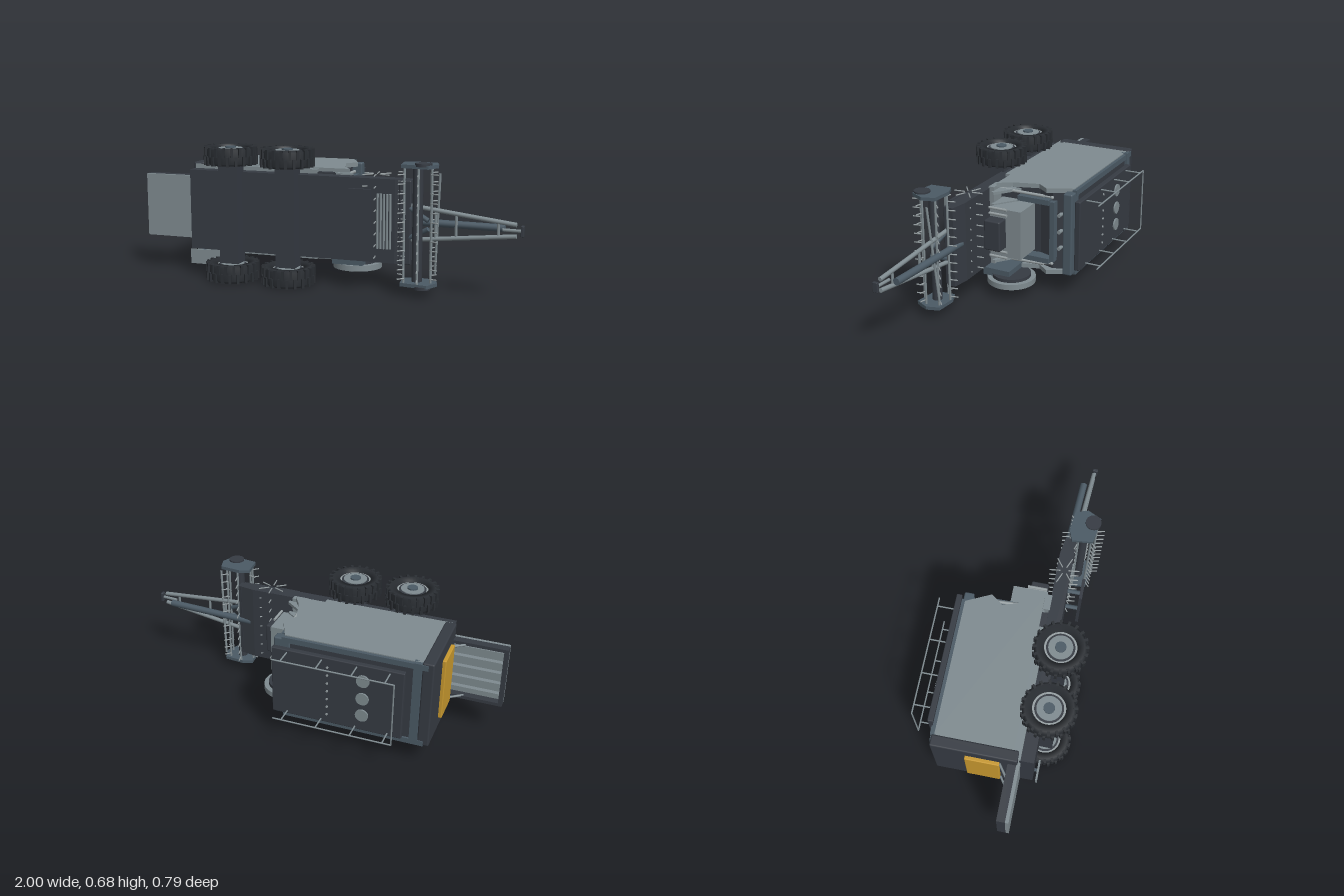
import * as THREE from 'three';
import { RoundedBoxGeometry } from 'three/addons/geometries/RoundedBoxGeometry.js';

const mat = (name, color) => Object.assign(new THREE.MeshStandardMaterial({ color }), { name });

export function createModel() {
  const root = new THREE.Group();
  root.name = 'towedBaler';
  const grey = mat('panel grey', 0x7f8b90);
  const steel = mat('light steel', 0x969fa2);
  const dark = mat('dark chassis', 0x363b43);
  const slate = mat('slate blue', 0x4b5a65);
  const rubber = mat('tyre rubber', 0x2a2e33);
  const amber = mat('amber panel', 0xc8992f);
  const MID = 0.345; // centre line across the width (y)

  const add = (name, geo, m, parent = root) => {
    const mesh = new THREE.Mesh(geo, m);
    mesh.name = name;
    parent.add(mesh);
    return mesh;
  };
  // Box from its extents; optional rounded edges
  const box = (name, m, [x0, x1], [y0, y1], [z0, z1], r = 0, parent = root) => {
    const s = [x1 - x0, y1 - y0, z1 - z0];
    const geo = r ? new RoundedBoxGeometry(...s, 2, r) : new THREE.BoxGeometry(...s);
    const b = add(name, geo, m, parent);
    b.position.set((x0 + x1) / 2, (y0 + y1) / 2, (z0 + z1) / 2);
    return b;
  };
  // Round bar between two points
  const rod = (name, m, a, b, r, sides = 8, parent = root) => {
    const A = new THREE.Vector3(...a), B = new THREE.Vector3(...b), d = B.clone().sub(A);
    const mesh = add(name, new THREE.CylinderGeometry(r, r, d.length(), sides), m, parent);
    mesh.position.copy(A).add(B).multiplyScalar(0.5);
    mesh.quaternion.setFromUnitVectors(new THREE.Vector3(0, 1, 0), d.normalize());
    return mesh;
  };
  // Plate with an (x, z) outline spanning y0..y1
  const slab = (name, m, pts, y0, y1, parent = root) => {
    const shape = new THREE.Shape(pts.map(p => new THREE.Vector2(...p)));
    const geo = new THREE.ExtrudeGeometry(shape, { depth: y1 - y0, bevelEnabled: false });
    geo.rotateX(Math.PI / 2).translate(0, y1, 0);
    return add(name, geo, m, parent);
  };
  const mirror = fn => [-1, 1].forEach(s => fn(s, d => MID + s * d));
  const span = (a, b) => [Math.min(a, b), Math.max(a, b)];

  // Bale chamber with side panels
  slab('chamberCore', dark, [[-0.68, -0.262], [0, -0.262], [0.045, -0.15], [0.02, -0.07], [0.045, 0.16], [-0.68, 0.16]], 0.13, 0.56);
  const side = [[-0.67, -0.255], [0.02, -0.255], [0.08, -0.13], [0.035, -0.07], [0.075, 0.06], [0.12, 0.13], [-0.67, 0.13]];
  slab('leftSidePanel', grey, side, 0.555, 0.578);
  slab('rightSidePanel', grey, side, 0.112, 0.135);
  mirror((s, y) => {
    box('lowerSideRail', grey, [-0.71, -0.04], span(y(0.205), y(0.228)), [0.13, 0.167]);
    box('roofEdge', slate, [-0.7, 0.03], span(y(0.2), y(0.228)), [-0.272, -0.25]);
  });
  box('frontCap', slate, [-0.01, 0.075], [0.125, 0.563], [-0.268, -0.218], 0.008);

  // Rear door and amber panel
  box('rearDoor', dark, [-0.727, -0.67], [0.118, 0.582], [-0.268, 0.155], 0.008);
  box('rearRoofBand', slate, [-0.67, -0.63], [0.122, 0.578], [-0.276, -0.24]);
  box('rearPanel', amber, [-0.745, -0.72], [0.18, 0.51], [-0.1, 0.07], 0.005);

  // Roof deck, dials, bolts and handrail
  box('roofDeck', dark, [-0.6, 0.07], [0.16, 0.53], [-0.31, -0.281], 0.005);
  box('roofDeckSupport', slate, [-0.56, 0.02], [0.2, 0.49], [-0.285, -0.255]);
  [0.25, 0.345, 0.445].forEach(y => rod('roofDial', grey, [-0.4, y, -0.27], [-0.4, y, -0.318], 0.033, 24));
  for (let i = 0; i < 7; i++) {
    const y = 0.21 + i * 0.045;
    rod('roofBolt', steel, [-0.22, y, -0.3], [-0.22, y, -0.315], 0.006);
  }
  mirror((s, y) => {
    rod('handrail', grey, [-0.575, y(0.17), -0.393], [0.035, y(0.17), -0.393], 0.004);
    [-0.53, -0.366, -0.19, -0.01].forEach(x => rod('railPost', grey, [x, y(0.17), -0.393], [x, y(0.17), -0.3], 0.004));
  });
  rod('handrailEnd', grey, [-0.575, 0.175, -0.393], [-0.575, 0.515, -0.393], 0.004);

  // Front face frame, rams and feed chute
  box('frontFrameBar', slate, [0.02, 0.075], [0.183, 0.507], [-0.17, -0.145]);
  mirror((s, y) => {
    box('frontFrameArm', slate, [0.02, 0.085], span(y(0.145), y(0.172)), [-0.145, 0.03]);
    rod('ramBody', steel, [0.075, y(0.19), 0.13], [0.065, y(0.185), -0.11], 0.008, 12);
    rod('ramRod', steel, [0.065, y(0.185), -0.1], [0.055, y(0.18), -0.15], 0.005);
    add('ramJoint', new THREE.SphereGeometry(0.009, 12, 8), steel).position.set(0.055, y(0.18), -0.15);
    [0.1, 0.13].forEach(d => rod('hydraulicPipe', steel, [0.2, y(d), 0.03], [0.2, y(d), 0.13], 0.007));
  });
  [0.255, 0.345, 0.435].forEach(y => rod('frontBolt', grey, [0.02, y, -0.19], [0.06, y, -0.19], 0.01, 12));
  box('plungerHousing', grey, [0.03, 0.19], [0.215, 0.472], [-0.042, 0.13]);
  box('gearbox', dark, [0.12, 0.255], [0.265, 0.425], [0.042, 0.132], 0.008);
  box('feedBeam', grey, [0.06, 0.14], [0.14, 0.56], [0.135, 0.165]);
  for (let i = 0; i < 7; i++) {
    const y = 0.155 + i * 0.062;
    slab('chuteFin', grey, [[0.04, 0.03], [0.06, 0.05], [0.16, 0.125], [0.16, 0.14], [0.04, 0.14]], y, y + 0.014);
  }

  // Chassis
  slab('chassis', dark, [[-0.71, 0.16], [0.38, 0.16], [0.47, 0.175], [0.47, 0.215], [0.38, 0.232], [-0.71, 0.232]], 0.14, 0.552);
  box('undersidePlate', dark, [0.17, 0.28], [0.18, 0.51], [0.296, 0.312]);
  [0.24, 0.45].forEach(y => rod('plateStrut', slate, [0.225, y, 0.23], [0.225, y, 0.3], 0.012));

  // Feeder rotor with radial tines
  for (let i = 0; i < 5; i++) {
    const x = 0.295 + i * 0.016;
    rod('feederBar', grey, [x, 0.21, 0.236], [x, 0.48, 0.236], 0.006);
  }
  const tineRow = (name, cx, cz, r0, r1, a, y0, y1, n) => {
    const c = Math.cos(a), s = Math.sin(a);
    for (let i = 0; i < n; i++) {
      const y = y0 + (y1 - y0) * i / (n - 1);
      rod(name, steel, [cx + c * r0, y, cz + s * r0], [cx + c * r1, y, cz + s * r1], 0.0035, 5);
    }
  };
  for (let k = 0; k < 6; k++) tineRow('feederTine', 0.28, 0.2, 0.02, 0.075, k * Math.PI / 3 + 0.4, 0.17, 0.57, 8);

  // Flywheel with hub and spokes
  rod('flywheel', grey, [0.135, 0.066, 0.04], [0.135, 0.095, 0.04], 0.125, 40);
  rod('flywheelBacking', dark, [0.135, 0.095, 0.04], [0.135, 0.112, 0.04], 0.1, 32);
  rod('flywheelFace', slate, [0.135, 0.062, 0.04], [0.135, 0.068, 0.04], 0.105, 32);
  rod('flywheelHub', dark, [0.135, 0.043, 0.04], [0.135, 0.07, 0.04], 0.028, 20);
  for (let k = 0; k < 8; k++) {
    const a = k * Math.PI / 4;
    const sp = add('flywheelSpoke', new THREE.BoxGeometry(0.08, 0.006, 0.016), dark);
    sp.position.set(0.135 + 0.06 * Math.cos(a), 0.061, 0.04 + 0.06 * Math.sin(a));
    sp.rotation.y = -a;
  }
  box('flywheelBracket', slate, [0.04, 0.2], [0.1, 0.14], [0.02, 0.17]);

  // Twin axles and wheels
  const tyreProfile = [[0.08, -0.04], [0.115, -0.045], [0.126, -0.034], [0.127, 0.034], [0.115, 0.045], [0.08, 0.04], [0.08, -0.04]]
    .map(p => new THREE.Vector2(...p));
  const wheel = (x, y) => {
    const g = new THREE.Group();
    g.name = 'wheel';
    g.position.set(x, y, 0.255);
    root.add(g);
    add('tyre', new THREE.LatheGeometry(tyreProfile, 40), rubber, g);
    for (let i = 0; i < 40; i++) {
      const a = i * Math.PI / 20, s = i % 2 ? 1 : -1;
      const lug = add('treadLug', new THREE.BoxGeometry(0.022, 0.047, 0.013), rubber, g);
      lug.position.set(Math.cos(a) * 0.1245, s * 0.022, Math.sin(a) * 0.1245);
      lug.rotation.y = -a;
    }
    const disc = (name, m, r, h) => rod(name, m, [0, -h, 0], [0, h, 0], r, 32, g);
    disc('rim', steel, 0.083, 0.03);
    disc('rimDish', dark, 0.07, 0.033);
    disc('wheelDisc', grey, 0.06, 0.037);
    disc('hub', slate, 0.027, 0.044);
  };
  [-0.467, -0.162].forEach(x => {
    box('axleBeam', dark, [x - 0.05, x + 0.05], [0.09, 0.6], [0.215, 0.3]);
    mirror((s, y) => wheel(x, y(0.295)));
  });

  // Rear bale ramp
  mirror((s, y) => box('rampSideRail', dark, [-1, -0.7], span(y(0.148), y(0.165)), [0.108, 0.15]));
  box('rampEndRail', dark, [-1, -0.98], [0.18, 0.51], [0.108, 0.15]);
  box('rampBase', grey, [-1, -0.7], [0.18, 0.51], [0.15, 0.167]);
  for (let i = 0; i < 5; i++) {
    const y = 0.225 + i * 0.06;
    box('rampSlat', grey, [-0.98, -0.7], [y - 0.014, y + 0.014], [0.125, 0.15]);
  }
  mirror((s, y) => rod('rampBrace', grey, [-0.73, y(0.15), 0.07], [-0.8, y(0.15), 0.12], 0.006));

  // Access steps
  [0.245, 0.19, 0.135].forEach((z, i) =>
    box('accessStep', grey, [-0.705 + i * 0.03, -0.6 + i * 0.03], [0.065, 0.14], [z, z + 0.01]));
  box('stepHanger', slate, [-0.66, -0.645], [0.125, 0.135], [0.13, 0.25]);

  // Pickup reel
  const PX = 0.5, PZ = 0.26;
  mirror((s, y) => {
    const [a, b] = span(y(0.275), y(0.292));
    slab('pickupEndPlate', slate, [[0.42, 0.21], [0.47, 0.19], [0.58, 0.2], [0.6, 0.265], [0.565, 0.335], [0.43, 0.315]], a, b);
    rod('pickupEndCap', dark, [0.535, y(0.285), 0.3], [0.535, y(0.3), 0.3], 0.04, 20);
  });
  rod('pickupShaft', dark, [PX, 0.07, PZ], [PX, 0.62, PZ], 0.025, 16);
  for (let k = 0; k < 6; k++) {
    const a = k * Math.PI / 3 + 0.3, x = PX + 0.075 * Math.cos(a), z = PZ + 0.065 * Math.sin(a);
    rod('pickupBar', grey, [x, 0.07, z], [x, 0.62, z], 0.006);
    tineRow('pickupTine', PX, PZ, 0.07, 0.108, a, 0.09, 0.59, 12);
  }
  box('pickupBeam', dark, [0.4, 0.46], [0.14, 0.55], [0.172, 0.235], 0.006);
  rod('windGuard', grey, [0.6, 0.59, 0.235], [0.575, 0.1, 0.2], 0.006);

  // Drawbar, drive shaft and hitch
  mirror((s, y) => rod('drawbarArm', grey, [0.38, y(0.092), 0.212], [0.965, y(0.027), 0.252], 0.011, 12));
  [[0.58, 0.068, 0.226], [0.68, 0.057, 0.233], [0.88, 0.035, 0.246]].forEach(([x, d, z]) =>
    rod('drawbarCrossbar', grey, [x, MID - d, z], [x, MID + d, z], 0.007));
  rod('driveShaftGuard', slate, [0.4, MID, 0.178], [0.905, MID, 0.208], 0.018, 16);
  mirror((s, y) => rod('pickupLink', slate, [0.4, y(0.1), 0.21], [0.55, y(0.02), 0.25], 0.012));
  rod('hitchTongue', grey, [0.9, MID, 0.249], [0.99, MID, 0.256], 0.008);
  box('hitchPlate', dark, [0.985, 1], [0.32, 0.37], [0.243, 0.27], 0.003);

  return root;
}
